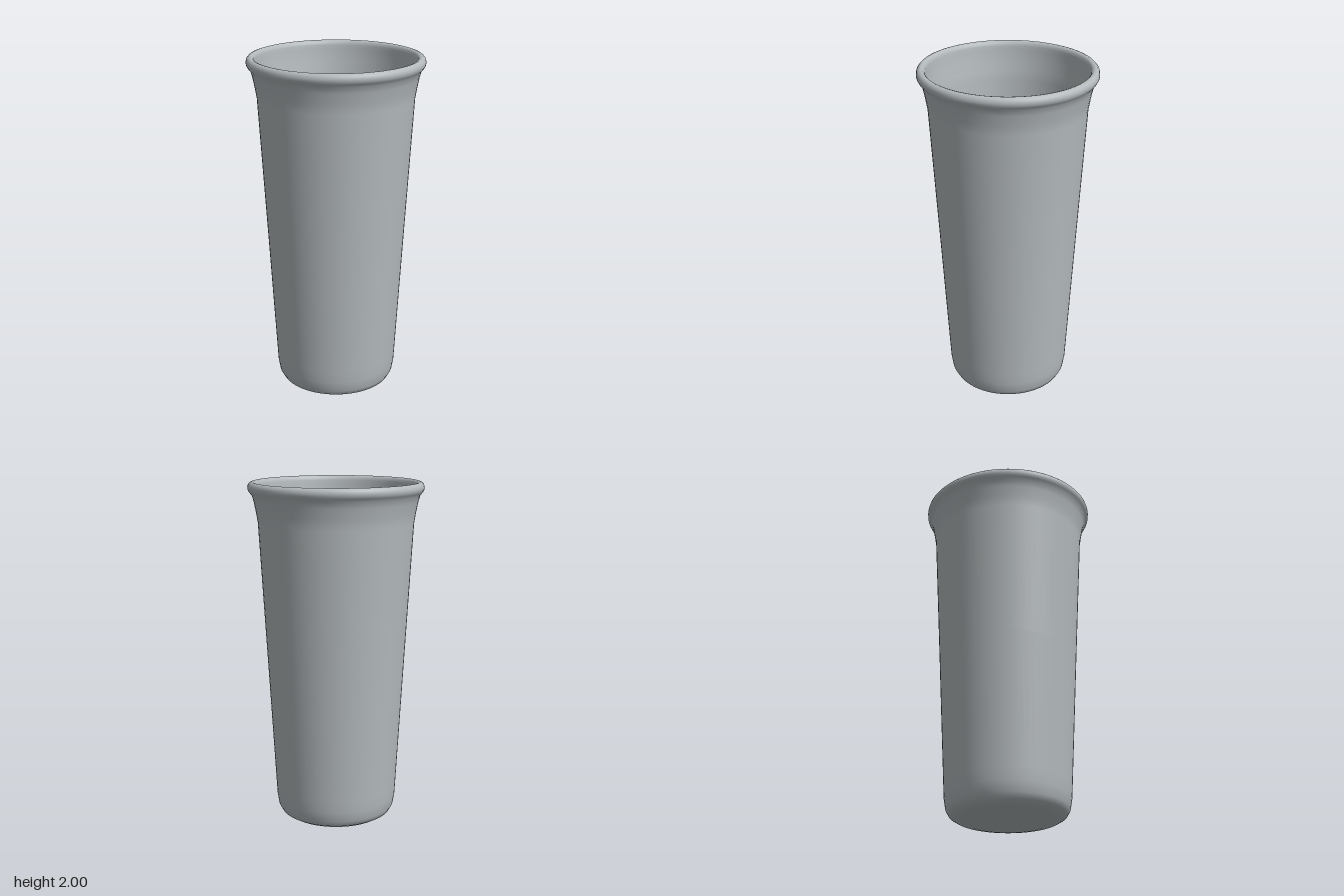
import * as THREE from 'three';

export function createModel() {
  const group = new THREE.Group();
  group.name = 'tumbler';
  const metal = new THREE.MeshStandardMaterial({ color: 0xb4babd });
  metal.name = 'brushed grey';

  // Closed wall profile [radius, height]: base, outer wall, rolled lip, inner wall, floor
  const profile = [
    [0, 0], [0.15, 0], [0.26, 0.002], [0.30, 0.01], [0.33, 0.028], [0.348, 0.06], [0.358, 0.12],
    [0.362, 0.19], [0.405, 0.98], [0.449, 1.77], [0.459, 1.83], [0.471, 1.89], [0.481, 1.925],
    // rolled lip
    [0.496, 1.943], [0.504, 1.957], [0.505, 1.972], [0.501, 1.986], [0.492, 1.996], [0.48, 2],
    [0.468, 1.997], [0.459, 1.988], [0.455, 1.972], [0.454, 1.95],
    // inner wall and floor
    [0.448, 1.89], [0.438, 1.83], [0.43, 1.77], [0.386, 0.98], [0.342, 0.19], [0.337, 0.12],
    [0.328, 0.075], [0.312, 0.048], [0.29, 0.032], [0.255, 0.023], [0.15, 0.02], [0, 0.02],
  ].map(([r, y]) => new THREE.Vector2(r, y));

  const cup = new THREE.Mesh(new THREE.LatheGeometry(profile, 72), metal);
  cup.name = 'cup';
  group.add(cup);
  return group;
}
